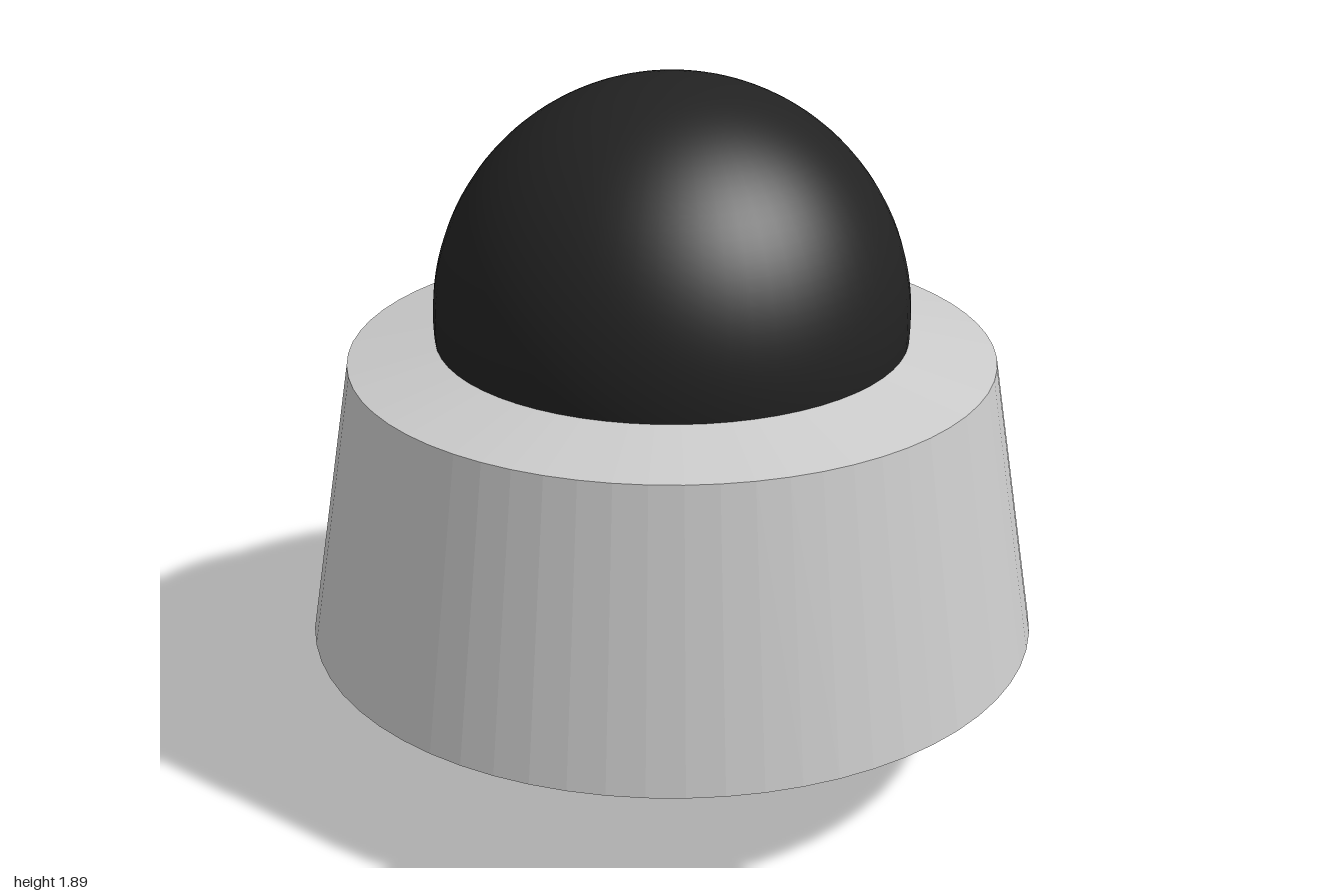
import * as THREE from 'three';

const SIDES = 64;

// Faceted solid of revolution; profile runs bottom to top as [radius, height]
function turned(name, profile, material) {
  const points = profile.map(([r, y]) => new THREE.Vector2(r, y));
  const mesh = new THREE.Mesh(new THREE.LatheGeometry(points, SIDES), material);
  mesh.name = name;
  return mesh;
}

export function createModel() {
  const group = new THREE.Group();
  group.name = 'domedPushButton';
  const grey = new THREE.MeshStandardMaterial({ color: 0xcccccc, flatShading: true });
  const black = new THREE.MeshStandardMaterial({ color: 0x222222 });

  // Short round stem under the base
  group.add(turned('stem', [[0, 0], [0.21, 0], [0.21, 0.24]], grey));

  // Shallow collar between stem and housing
  group.add(turned('collar', [[0, 0.215], [0.695, 0.215], [0.715, 0.32]], grey));

  // Tapered housing with sloping underside and top rim
  group.add(turned('housing', [[0.7, 0.317], [1, 0.367], [0.87, 1.145], [0.635, 1.198], [0, 1.198]], grey));

  // Smooth dome, a little more than a hemisphere, seated in the rim
  const dome = new THREE.Mesh(
    new THREE.SphereGeometry(0.637, SIDES, 32, 0, Math.PI * 2, 0, Math.PI * 0.54), black);
  dome.position.y = 1.258;
  dome.name = 'dome';
  group.add(dome);

  return group;
}
